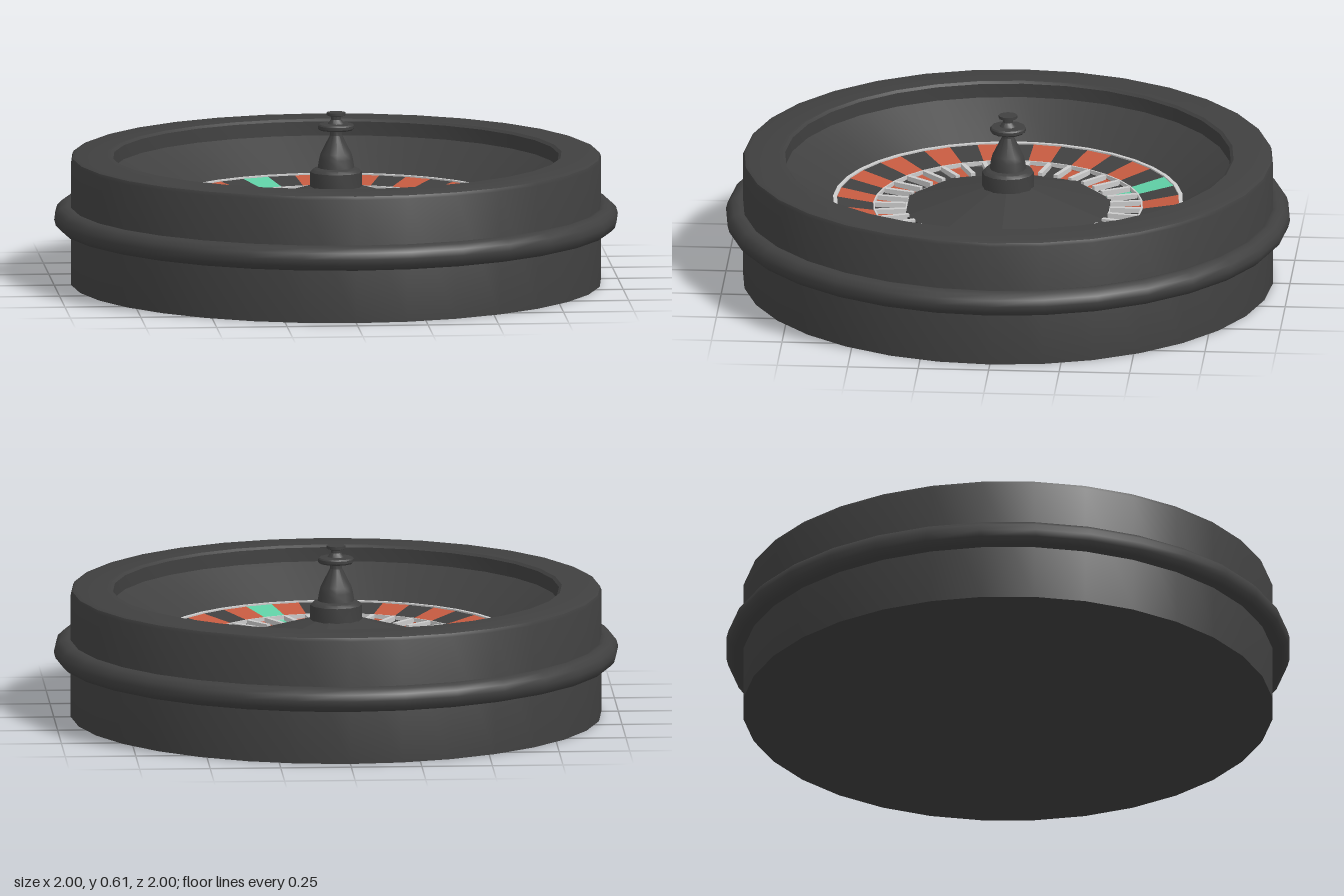
import * as THREE from 'three';
import { mergeGeometries, toCreasedNormals } from 'three/addons/utils/BufferGeometryUtils.js';

const mat = (color) => new THREE.MeshStandardMaterial({ color });
const DARK = mat(0x404040), RED = mat(0xc45a40), GREEN = mat(0x5fcfa5), GREY = mat(0xcccccc);

// Revolve a list of [radius, height] points; profiles run bottom, outside, top, inside
function lathe(points, sides, start = 0, length = Math.PI * 2, crease = 0.55) {
  const profile = points.map(([r, y]) => new THREE.Vector2(r, y));
  return toCreasedNormals(new THREE.LatheGeometry(profile, sides, start, length), crease);
}

export function createModel() {
  const group = new THREE.Group();
  const add = (name, geometry, material) => {
    const mesh = new THREE.Mesh(geometry, material);
    mesh.name = name;
    group.add(mesh);
    return mesh;
  };

  // Drum with rounded rim, lip and sloping bowl
  add('bowl', lathe([
    [0, 0], [0.94, 0], [0.94, 0.44], [0.935, 0.452], [0.92, 0.458], [0.80, 0.458], [0.79, 0.45],
    [0.79, 0.4], [0.61, 0.285], [0.6, 0.235], [0, 0.235],
  ], 32), DARK);

  // Rounded belt around the drum
  const belt = new THREE.TorusGeometry(0.955, 0.045, 12, 32).rotateX(Math.PI / 2);
  add('belt', belt.translate(0, 0.235, 0), DARK);

  // 38 number fields, each running down into its pocket
  const COUNT = 38, step = (Math.PI * 2) / COUNT;
  const field = [[0.612, 0.289], [0.475, 0.268], [0.47, 0.255], [0.35, 0.25]].map(([r, y]) => [r, y]);
  const sets = { red: [], green: [], dark: [] };
  const dividers = [];
  for (let i = 0; i < COUNT; i++) {
    const key = i === 16 || i === 35 ? 'green' : i % 2 ? 'red' : 'dark';
    sets[key].push(lathe(field, 2, Math.PI - (i + 1) * step, step));
    // Raised wall between neighbouring pockets
    dividers.push(new THREE.BoxGeometry(0.016, 0.022, 0.11)
      .translate(0, 0.26, 0.418).rotateY(Math.PI - i * step));
  }
  add('redPockets', mergeGeometries(sets.red), RED);
  add('greenPockets', mergeGeometries(sets.green), GREEN);
  add('darkPockets', mergeGeometries(sets.dark), DARK);
  add('pocketDividers', mergeGeometries(dividers), GREY);

  // Light rings: outer edge, pocket edge and hub edge
  const ring = (name, inner, outer, y, height) => add(name, lathe([
    [outer, y - height], [outer, y], [inner, y], [inner, y - height],
  ], 38), GREY);
  ring('outerRing', 0.606, 0.62, 0.293, 0.02);
  ring('pocketRing', 0.472, 0.478, 0.272, 0.015);
  ring('hubRing', 0.345, 0.374, 0.254, 0.015);

  // Ten-sided cone in the middle
  const cone = new THREE.CylinderGeometry(0.085, 0.375, 0.085, 10).toNonIndexed();
  cone.computeVertexNormals();
  cone.rotateY(Math.PI / 2).translate(0, 0.3025, 0);
  add('hubCone', cone, DARK);
  const skirt = new THREE.CylinderGeometry(0.375, 0.375, 0.012, 10).rotateY(Math.PI / 2);
  add('hubEdge', skirt.translate(0, 0.255, 0), DARK);

  // Turned spindle with collar, flange and finial
  add('spindle', lathe([
    [0.092, 0.335], [0.092, 0.395], [0.082, 0.405], [0.065, 0.41], [0.06, 0.44], [0.055, 0.46],
    [0.022, 0.525], [0.022, 0.545], [0.06, 0.545], [0.064, 0.55], [0.064, 0.56], [0.06, 0.565],
    [0.03, 0.567], [0.018, 0.582], [0.018, 0.592], [0.033, 0.597], [0.033, 0.607], [0, 0.607],
  ], 12), DARK);

  return group;
}
